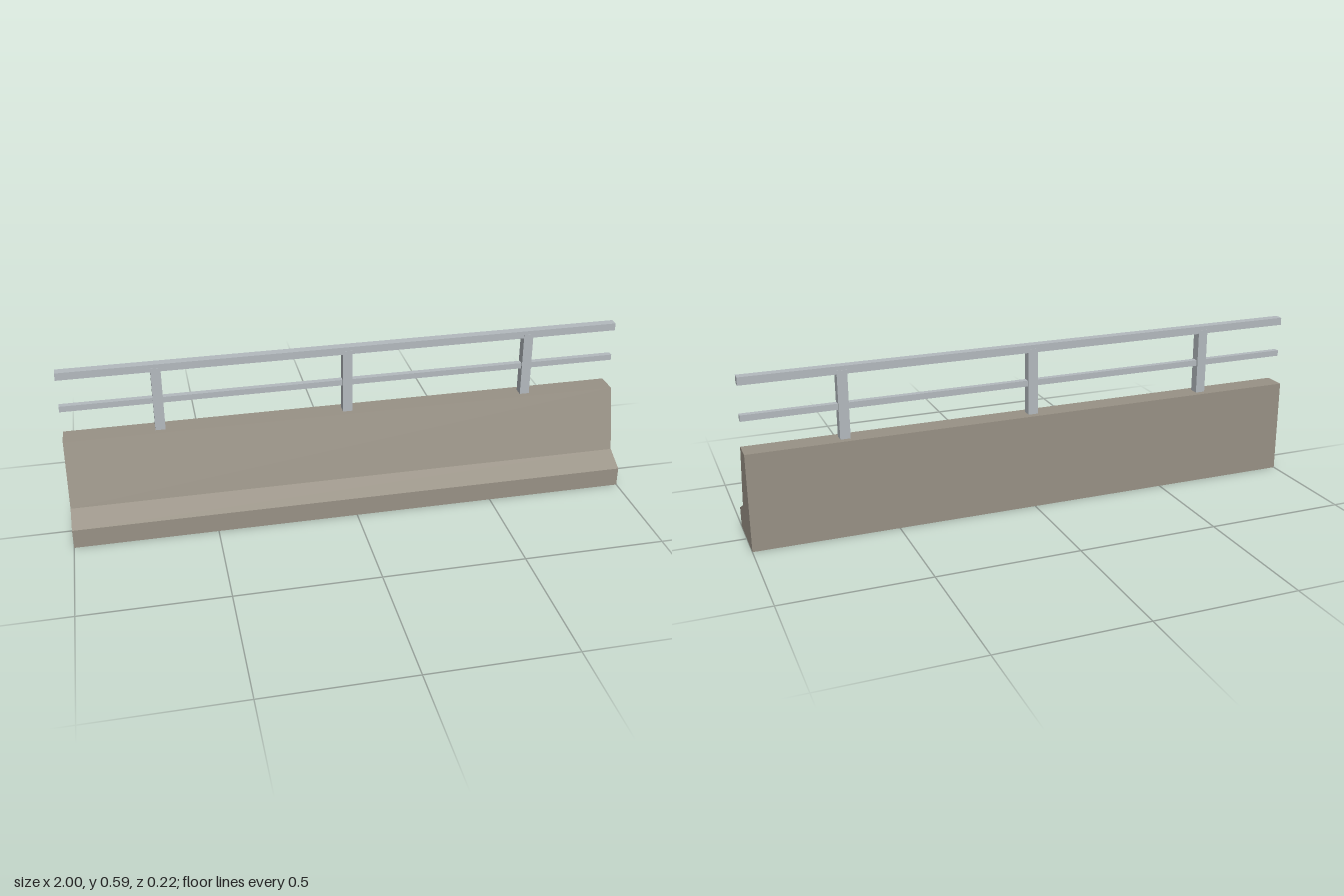
import * as THREE from 'three';

export function createModel() {
  const group = new THREE.Group();
  const concrete = new THREE.MeshStandardMaterial({ color: 0x999286 });
  concrete.name = 'concrete';
  const steel = new THREE.MeshStandardMaterial({ color: 0xb4babf });
  steel.name = 'galvanised steel';

  const add = (name, geometry, material) => {
    const mesh = new THREE.Mesh(geometry, material);
    mesh.name = name;
    group.add(mesh);
    return mesh;
  };

  // Concrete barrier: cross-section in (z, y), extruded along the length
  const profile = new THREE.Shape([
    [0.11, 0], [0.11, 0.07], [0.03, 0.11], [-0.03, 0.34], [-0.11, 0.34], [-0.11, 0],
  ].map(([z, y]) => new THREE.Vector2(z, y)));
  const barrier = new THREE.ExtrudeGeometry(profile, { depth: 2, bevelEnabled: false });
  barrier.translate(0, 0, -1).rotateY(-Math.PI / 2);
  add('barrier', barrier, concrete);

  // Railing: full-length rails carried on three posts
  const railZ = -0.069;
  add('topRail', new THREE.BoxGeometry(2, 0.027, 0.032), steel).position.set(0, 0.5765, railZ);
  add('midRail', new THREE.BoxGeometry(2, 0.021, 0.021), steel).position.set(0, 0.452, railZ);
  for (const x of [-0.667, 0, 0.667]) {
    add('post', new THREE.BoxGeometry(0.035, 0.236, 0.035), steel).position.set(x, 0.458, railZ);
  }
  return group;
}
